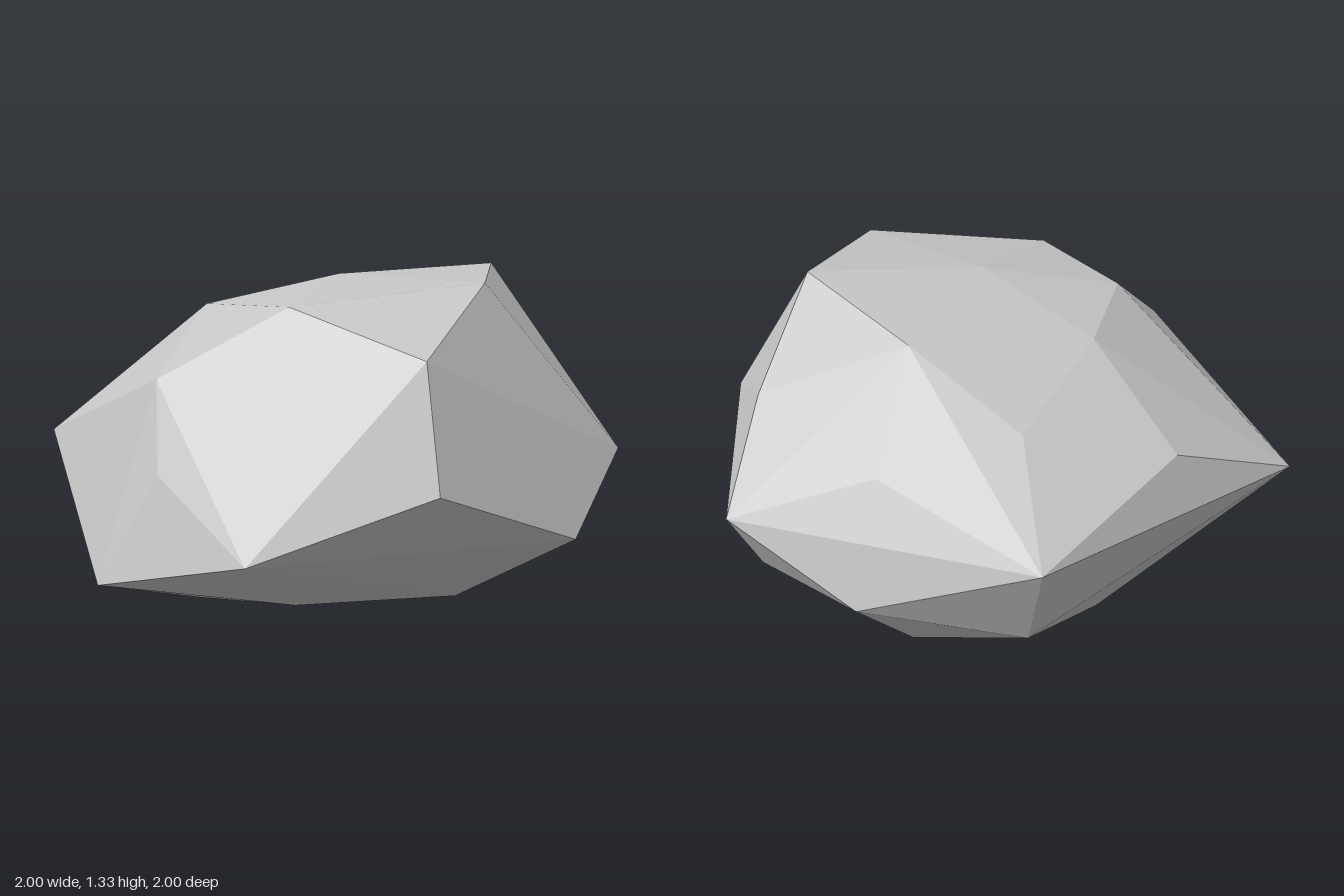
import * as THREE from 'three';
import { ConvexGeometry } from 'three/addons/geometries/ConvexGeometry.js';

// Boulder: sphere directions pushed out by uneven radii, flattened, then wrapped in a faceted hull.
const CENTRE = new THREE.Vector3(0.025, 0.67, 0.02);
const SQUASH = new THREE.Vector3(1, 0.65, 0.85);

// Each family: a base direction and the radius for each sign pattern (x, y, z)
const FAMILIES = [
  { dir: [0, 1, 0], radii: { '+++': 0.97, '+-+': 1.023 } },
  { dir: [0, 0, 1], radii: { '+++': 1.153, '++-': 1.2 } },
  { dir: [0.526, 0.851, 0], radii: { '+++': 1.195, '-++': 0.96, '+-+': 1.13, '--+': 1.052 } },
  { dir: [0, 0.526, 0.851], radii: { '+++': 1.185, '++-': 0.967, '+--': 1.155 } },
  { dir: [0.851, 0, 0.526], radii: { '+++': 1.092, '++-': 1.145, '-+-': 1.204, '-++': 0.905 } },
  { dir: [0.809, 0.5, 0.309], radii: { '++-': 1.03, '+-+': 1.02, '+--': 1.09, '-++': 0.912, '--+': 1.2 } },
  { dir: [0.5, 0.309, 0.809], radii: { '++-': 0.95, '-+-': 1.045, '+-+': 1.165, '+--': 1.15, '--+': 1.14 } },
  { dir: [0.309, 0.809, 0.5], radii: { '+++': 1.175, '++-': 1.075, '-++': 1.043, '-+-': 0.98,
    '+-+': 1.005, '--+': 0.96, '+--': 1.17, '---': 1.115 } },
];

export function createModel() {
  const points = [];
  for (const { dir, radii } of FAMILIES) {
    for (const [signs, radius] of Object.entries(radii)) {
      const [x, y, z] = dir.map((d, i) => (signs[i] === '-' ? -d : d));
      points.push(new THREE.Vector3(x, y, z).multiply(SQUASH).multiplyScalar(radius).add(CENTRE));
    }
  }

  const stone = new THREE.MeshStandardMaterial({ color: 0xc4c4c4 });
  stone.name = 'stoneGrey';

  const boulder = new THREE.Mesh(new ConvexGeometry(points), stone);
  boulder.name = 'boulder';
  // Rest the lowest corner on the ground
  boulder.geometry.computeBoundingBox();
  boulder.position.y = -boulder.geometry.boundingBox.min.y;

  const model = new THREE.Group();
  model.name = 'rock';
  model.add(boulder);
  return model;
}
